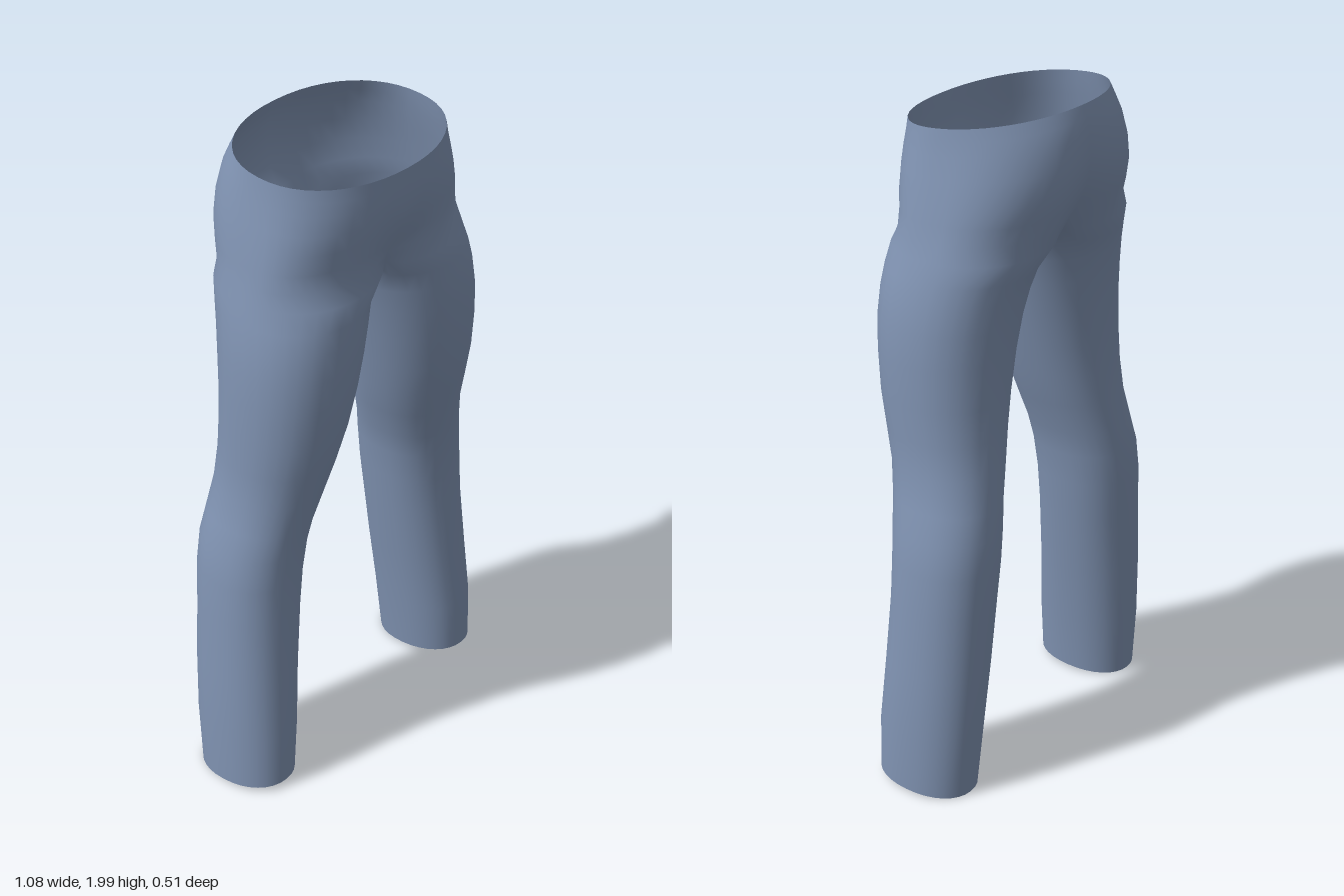
import * as THREE from 'three';
import { mergeVertices } from 'three/addons/utils/BufferGeometryUtils.js';

const N = 32;      // points round one leg
const OUTER = 24;  // steps from front centre, round the outside, to back centre

// Leg sections: y, outer x, inner x, front z, back z
const LEG = [
  [0.017, 0.54, 0.315, 0.165, -0.14],
  [0.2, 0.54, 0.297, 0.165, -0.155],
  [0.4, 0.53, 0.27, 0.15, -0.165],
  [0.6, 0.515, 0.243, 0.14, -0.17],
  [0.72, 0.507, 0.228, 0.14, -0.175],
  [0.82, 0.493, 0.215, 0.147, -0.173],
  [0.9, 0.472, 0.199, 0.158, -0.163],
  [1.0, 0.452, 0.165, 0.178, -0.15],
  [1.1, 0.448, 0.136, 0.203, -0.142],
  [1.2, 0.448, 0.11, 0.225, -0.14],
  [1.32, 0.446, 0.08, 0.24, -0.143],
  [1.42, 0.441, 0.056, 0.247, -0.152],
  [1.5, 0.43, 0.034, 0.247, -0.165],
  [1.56, 0.418, 0.014, 0.243, -0.18],
];
// Crotch section, whose inner points lie on the centre line
const CROTCH = [1.62, 0.404, -0.05, 0.24, -0.203];
// Hip sections: y, half width, front z, back z, front dip, back dip, roundness power
const HIPS = [
  [1.67, 0.391, 0.239, -0.226, 0.05, 0.05, 0.8],
  [1.72, 0.381, 0.24, -0.243, 0.02, 0.035, 0.8],
  [1.78, 0.37, 0.25, -0.258, 0.008, 0.025, 0.8],
  [1.84, 0.357, 0.257, -0.259, 0, 0.016, 0.82],
  [1.9, 0.345, 0.26, -0.247, 0, 0.01, 0.86],
  [1.94, 0.338, 0.26, -0.23, 0, 0.005, 0.9],
  [1.975, 0.333, 0.26, -0.213, 0, 0, 0.93],
];

const bend = (v, p) => Math.sign(v) * Math.abs(v) ** p;
const smooth = THREE.MathUtils.smoothstep;

function legPoint([y, outer, inner, front, back], j) {
  const a = Math.PI * (0.75 - (2 * j) / N);
  const x = (outer + inner) / 2 + ((outer - inner) / 2) * bend(Math.cos(a), 0.92);
  const z = (front + back) / 2 + ((front - back) / 2) * bend(Math.sin(a), 0.92);
  return [x, y + (y < 0.1 ? 0.07 * z : 0), z];
}

function crotchPoint(j) {
  const [x, y, z] = legPoint(CROTCH, j);
  if (j > 0 && j < OUTER) return [Math.max(x, 0), y, z];
  // saddle between the legs, rising to the front and back seams
  const t = j === 0 ? 1 : (j - OUTER) / (N - OUTER);
  return [0, 1.587 + 0.05 * (2 * t - 1) ** 2, z];
}

function hipPoint([y, half, front, back, dipF, dipB, power], j) {
  const a = Math.PI * (0.5 - j / OUTER);
  const x = j % OUTER ? half * bend(Math.cos(a), power) : 0;
  const s = bend(Math.sin(a), power);
  const fold = Math.exp(-((x / 0.09) ** 2));
  const z = 0.03 + (s > 0 ? s * (front - 0.03 - dipF * fold) : s * (0.03 - back - dipB * fold));
  // the waistband slopes down to the front
  return [x, y - 0.1 * z * smooth(y, 1.72, 1.96), z];
}

function trousersGeometry() {
  const pos = [], index = [];
  for (const side of [1, -1]) {
    const start = pos.length / 3;
    const add = ([x, y, z]) => pos.push(side * x - 0.012 * smooth(y, 1.3, 1.95), y, z);
    for (const row of LEG) for (let j = 0; j < N; j++) add(legPoint(row, j));
    for (let j = 0; j < N; j++) add(crotchPoint(j));
    // hip rows keep the same stride; their inner points are left unused
    for (const row of HIPS) for (let j = 0; j < N; j++) add(hipPoint(row, Math.min(j, OUTER)));

    for (let k = 0; k < LEG.length + HIPS.length; k++) {
      const steps = k < LEG.length ? N : OUTER;
      for (let j = 0; j < steps; j++) {
        const a = start + k * N + j, b = start + k * N + ((j + 1) % N);
        const c = b + N, d = a + N;
        if (side > 0) index.push(a, b, c, a, c, d);
        else index.push(a, c, b, a, d, c);
      }
    }
  }
  const g = new THREE.BufferGeometry();
  g.setAttribute('position', new THREE.Float32BufferAttribute(pos, 3));
  g.setIndex(index);
  // weld the centre seam so shading runs across it
  const welded = mergeVertices(g, 1e-4);
  welded.computeVertexNormals();
  return welded;
}

export function createModel() {
  const group = new THREE.Group();
  group.name = 'trousers';
  const cloth = new THREE.MeshStandardMaterial({ color: 0x8093b2, side: THREE.DoubleSide });
  const mesh = new THREE.Mesh(trousersGeometry(), cloth);
  mesh.name = 'trouserCloth';
  group.add(mesh);
  return group;
}
